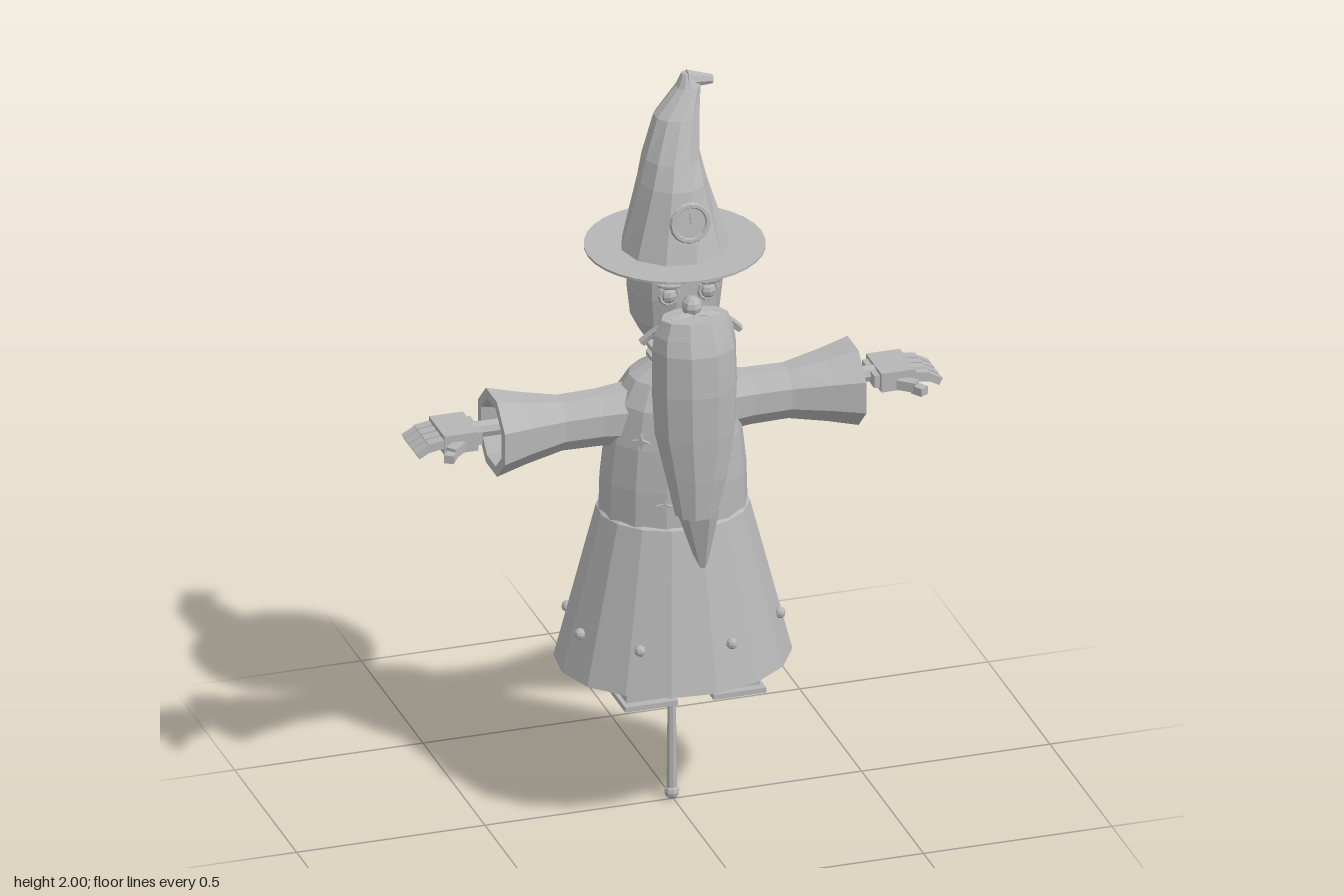
import * as THREE from 'three';

// Faceted normals without sharing vertices
function facet(geo) {
  const g = geo.index ? geo.toNonIndexed() : geo;
  g.computeVertexNormals();
  return g;
}

// Skin over elliptical rings [y, rx, rz, cx, cz]; order sets which way the wall faces
function loft(rings, sides, phase = 0, twist = 0) {
  const pos = [], idx = [];
  rings.forEach(([y, rx, rz, cx = 0, cz = 0], r) => {
    for (let i = 0; i < sides; i++) {
      const a = phase + twist * r + (i / sides) * Math.PI * 2;
      pos.push(cx + Math.sin(a) * rx, y, cz + Math.cos(a) * rz);
    }
  });
  for (let r = 0; r < rings.length - 1; r++) {
    for (let i = 0; i < sides; i++) {
      const j = (i + 1) % sides, a = r * sides + i, b = r * sides + j;
      const c = b + sides, d = a + sides;
      if (rings[r][1] > 0) idx.push(a, b, c);
      if (rings[r + 1][1] > 0) idx.push(a, c, d);
      else if (rings[r][1] > 0) idx.splice(idx.length - 3, 3, a, b, d);
    }
  }
  const g = new THREE.BufferGeometry();
  g.setAttribute('position', new THREE.Float32BufferAttribute(pos, 3));
  g.setIndex(idx);
  return g;
}

export function createModel() {
  const model = new THREE.Group();
  model.name = 'wizardPuppet';
  const grey = new THREE.MeshStandardMaterial({ color: 0xb6b6b6 });
  grey.name = 'plain grey';

  function add(name, geo, [x, y, z] = [0, 0, 0], parent = model) {
    const m = new THREE.Mesh(facet(geo), grey);
    m.name = name;
    m.position.set(x, y, z);
    parent.add(m);
    return m;
  }
  const box = (w, h, d) => new THREE.BoxGeometry(w, h, d);
  const ball = (r) => new THREE.SphereGeometry(r, 8, 6);

  // Hat with drooping tip
  add('hatBrim', new THREE.CylinderGeometry(0.23, 0.23, 0.006, 32), [0, 1.56, 0.012]);
  add('hatCone', loft([
    [1.56, 0.142, 0.137, 0, 0.015], [1.74, 0.087, 0.1, -0.002, -0.004],
    [1.8, 0.074, 0.082, 0, -0.018], [1.9, 0.06, 0.055, 0.022, -0.04],
    [1.965, 0.032, 0.033, 0.058, -0.058], [1.998, 0.014, 0.014, 0.055, -0.06], [1.998, 0, 0, 0.055, -0.06],
  ], 11, 0.1, 0.12));
  add('hatTip', new THREE.CylinderGeometry(0.012, 0.024, 0.07, 7), [0.088, 1.976, -0.06]).rotation.z = -1.72;

  // Clock badge on the hat
  const clock = new THREE.Group();
  clock.name = 'clock';
  clock.position.set(0, 1.675, 0.132);
  clock.rotation.x = -0.12;
  model.add(clock);
  add('clockRim', new THREE.TorusGeometry(0.047, 0.008, 6, 16), [0, 0, 0.004], clock);
  add('clockFace', new THREE.CylinderGeometry(0.045, 0.045, 0.012, 16), [0, 0, 0], clock).rotation.x = Math.PI / 2;
  add('minuteHand', box(0.006, 0.032, 0.005), [0.002, 0.013, 0.008], clock);
  add('hourHand', box(0.022, 0.006, 0.005), [0.012, 0, 0.008], clock);

  // Head and neck
  add('head', loft([
    [1.305, 0, 0, 0, 0.01], [1.305, 0.06, 0.06, 0, 0.01], [1.325, 0.09, 0.088, 0, 0.01],
    [1.37, 0.113, 0.108, 0, 0.01], [1.45, 0.122, 0.116, 0, 0.01], [1.52, 0.122, 0.116, 0, 0.01],
    [1.558, 0.11, 0.1, 0, 0.01], [1.558, 0, 0, 0, 0.01],
  ], 12, Math.PI / 12));
  add('neck', new THREE.CylinderGeometry(0.028, 0.035, 0.2, 8), [0, 1.23, -0.01]);
  add('neckCollar', loft([
    [1.2, 0.05, 0.05], [1.235, 0.05, 0.05], [1.24, 0.066, 0.066], [1.252, 0.066, 0.066], [1.255, 0.045, 0.045],
    [1.265, 0.045, 0.045], [1.268, 0.066, 0.066], [1.28, 0.066, 0.066], [1.28, 0, 0],
  ], 10), [0, 0, -0.01]);

  // Face
  add('nose', ball(0.03), [0, 1.45, 0.15]).scale.set(0.9, 0.9, 1);
  for (const s of [-1, 1]) {
    add('eye', ball(0.023), [s * 0.052, 1.475, 0.118]);
    add('eyeRing', new THREE.TorusGeometry(0.024, 0.006, 5, 10), [s * 0.052, 1.475, 0.122]);
    const brow = add('eyebrow', ball(0.02), [s * 0.058, 1.513, 0.142]);
    brow.scale.set(1.7, 0.6, 0.8);
    brow.rotation.z = s * 0.15;
    const curl = new THREE.CatmullRomCurve3([
      new THREE.Vector3(0, 1.43, 0.165), new THREE.Vector3(s * 0.06, 1.425, 0.175),
      new THREE.Vector3(s * 0.105, 1.39, 0.15), new THREE.Vector3(s * 0.13, 1.362, 0.14),
    ]);
    add('moustache', new THREE.TubeGeometry(curl, 8, 0.011, 5));
  }

  // Long beard in two pieces
  add('beard', loft([
    [0.895, 0, 0, -0.005, 0.2], [0.895, 0.056, 0.052, -0.005, 0.2], [1.0, 0.082, 0.07, 0, 0.19],
    [1.12, 0.107, 0.09, 0, 0.175], [1.24, 0.113, 0.097, 0, 0.17], [1.35, 0.111, 0.092, 0, 0.167],
    [1.39, 0.105, 0.078, 0, 0.165], [1.432, 0.088, 0.055, 0, 0.17], [1.432, 0, 0, 0, 0.17],
  ], 10, Math.PI / 10));
  add('beardTip', loft([
    [0.73, 0, 0, 0.018, 0.18], [0.73, 0.012, 0.012, 0.018, 0.18],
    [0.9, 0.055, 0.048, 0, 0.2], [0.98, 0.05, 0.045, 0, 0.19],
  ], 6, 0.3));

  // Robe: torso and hollow skirt
  add('torso', loft([
    [0.82, 0.193, 0.165], [0.93, 0.19, 0.162], [1.04, 0.178, 0.154], [1.14, 0.152, 0.138],
    [1.2, 0.115, 0.1], [1.23, 0.06, 0.06], [1.23, 0, 0],
  ], 14, 0.1), [0, 0, -0.003]);
  add('skirt', loft([
    [0.815, 0.17, 0.145], [0.41, 0.285, 0.247], [0.41, 0.305, 0.268], [0.83, 0.197, 0.172], [0.838, 0.185, 0.158],
  ], 16, 0.1), [0, 0, -0.003]);
  for (const deg of [-34, -76, -116, -160, 150, 108, 66, 17]) {
    const a = THREE.MathUtils.degToRad(deg);
    add('skirtStud', ball(0.015), [Math.sin(a) * 0.275, 0.528, Math.cos(a) * 0.24]);
  }

  // Four-pointed stars lying on the torso
  const star = new THREE.Shape();
  for (let i = 0; i < 8; i++) {
    const r = i % 2 ? 0.007 : 0.023, a = (i * Math.PI) / 4;
    star[i ? 'lineTo' : 'moveTo'](Math.sin(a) * r, Math.cos(a) * r);
  }
  star.closePath();
  for (const [x, y, z] of [[-0.12, 1.07, 0.11], [0.095, 1.0, 0.131], [-0.07, 0.9, 0.149]]) {
    const g = new THREE.ExtrudeGeometry(star, { depth: 0.008, bevelEnabled: false });
    add('star', g, [x, y, z]).rotation.y = x * 5.5;
  }

  // Arms, built toward +x and mirrored
  for (const s of [1, -1]) {
    const arm = new THREE.Group();
    arm.name = s > 0 ? 'leftArm' : 'rightArm';
    arm.position.set(0, 1.095, -0.008);
    arm.scale.x = s;
    model.add(arm);
    const sleeve = loft([
      [0.1, 0.085, 0.075], [0.2, 0.075, 0.062], [0.3, 0.073, 0.062], [0.4, 0.093, 0.09],
      [0.48, 0.113, 0.117], [0.48, 0.087, 0.09], [0.38, 0.065, 0.062], [0.28, 0.05, 0.045], [0.28, 0, 0],
    ], 8, Math.PI / 8);
    add('sleeve', sleeve, [0, 0, 0], arm).rotation.z = -Math.PI / 2;
    add('wrist', new THREE.CylinderGeometry(0.022, 0.022, 0.28, 8), [0.41, 0.015, 0.002], arm).rotation.z = Math.PI / 2;
    add('palm', box(0.09, 0.052, 0.125), [0.58, 0.012, 0], arm);
    add('palmCuff', box(0.02, 0.034, 0.1), [0.53, 0.012, 0], arm);
    for (let i = 0; i < 4; i++) {
      const z = -0.05 + i * 0.032;
      add('finger', box(0.045, 0.024, 0.025), [0.642, 0.012, z], arm).rotation.z = -0.15;
      add('fingertip', box(0.04, 0.02, 0.023), [0.677, 0, z], arm).rotation.z = -0.5;
    }
    add('thumb', box(0.05, 0.026, 0.028), [0.6, 0.006, 0.078], arm).rotation.y = -0.7;
    add('thumbTip', box(0.035, 0.022, 0.025), [0.622, 0, 0.103], arm).rotation.y = -1;
  }

  // Legs and shoes
  for (const s of [1, -1]) {
    const x = s * 0.117;
    add('leg', new THREE.CylinderGeometry(0.035, 0.03, 0.38, 8), [x, 0.6, -0.01]);
    add('ankle', new THREE.CylinderGeometry(0.045, 0.055, 0.04, 8), [x, 0.43, -0.01]);
    add('shoe', box(0.12, 0.045, 0.225), [x, 0.39, 0.05]);
    add('sole', box(0.14, 0.014, 0.265), [x, 0.359, 0.05]);
  }

  // Support rod with a knob at the foot
  add('rod', new THREE.CylinderGeometry(0.005, 0.014, 0.82, 8), [-0.003, 0.43, -0.003]);
  add('rodKnob', ball(0.02), [-0.003, 0.02, -0.003]);

  return model;
}
